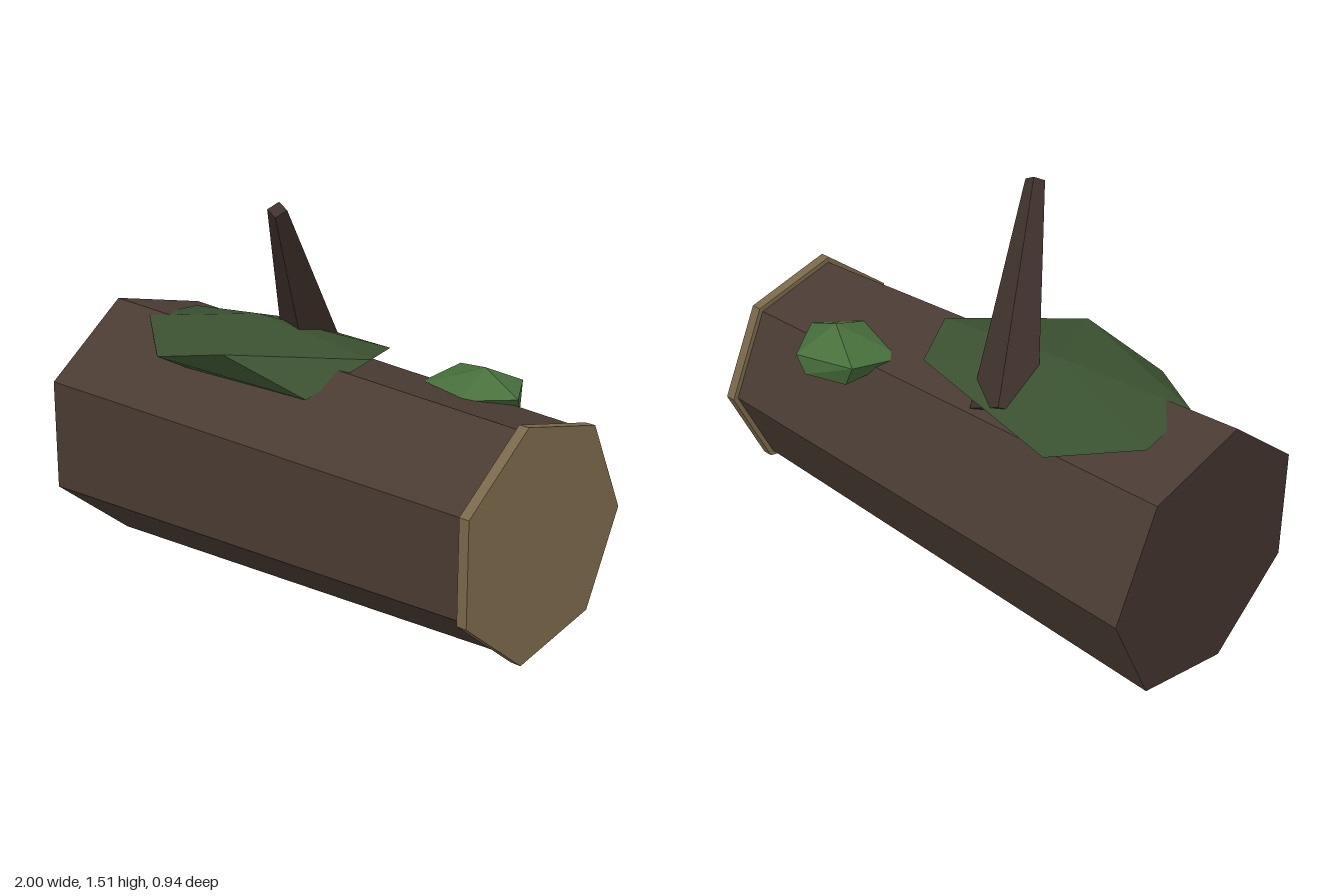
import * as THREE from 'three';
import { ConvexGeometry } from 'three/addons/geometries/ConvexGeometry.js';

const CENTER_Y = 0.485, CENTER_Z = 0.027;

function mat(name, color) {
  const m = new THREE.MeshStandardMaterial({ color });
  m.name = name;
  return m;
}

// Split corners so every face is shaded flat
function faceted(geometry) {
  const g = geometry.toNonIndexed();
  g.computeVertexNormals();
  return g;
}

export function createModel() {
  const group = new THREE.Group();
  const bark = mat('bark', 0x4a3b33);
  const darkBark = mat('dark bark', 0x40322d);
  const wood = mat('cut wood', 0x7a684a);
  const moss = mat('moss', 0x3a5130);
  const lightMoss = mat('light moss', 0x48703c);

  function add(name, geometry, material) {
    const mesh = new THREE.Mesh(geometry, material);
    mesh.name = name;
    group.add(mesh);
    return mesh;
  }

  // Seven-sided prism lying along x, with a corner pointing to the back
  function prism(name, x0, x1, r0, r1, material) {
    const g = new THREE.CylinderGeometry(r1, r0, x1 - x0, 7, 1, false, Math.PI);
    g.rotateZ(-Math.PI / 2);
    g.translate((x0 + x1) / 2, CENTER_Y, CENTER_Z);
    return add(name, faceted(g), material);
  }

  // Tapered trunk and the cut end
  prism('trunk', -1, 0.98, 0.4925, 0.41, [bark, bark, darkBark]);
  prism('cutEnd', 0.96, 1, 0.432, 0.432, wood);

  // Broken branch: four-sided taper with one ridge facing up and back
  const base = new THREE.Vector3(-0.247, 0.85, -0.179);
  const tip = new THREE.Vector3(0.022, 1.49, 0.275);
  const dir = tip.clone().sub(base);
  const length = dir.length();
  dir.normalize();
  const ridge = new THREE.Vector3(0, 1, 0).addScaledVector(dir, -dir.y).normalize();
  const side = new THREE.Vector3().crossVectors(dir, ridge);
  const branch = new THREE.CylinderGeometry(0.035, 0.12, length, 4);
  branch.applyMatrix4(new THREE.Matrix4().makeBasis(side, dir, ridge)
    .setPosition(base.clone().add(tip).multiplyScalar(0.5)));
  add('branch', faceted(branch), darkBark);

  // Moss clumps: irregular faceted lumps sunk into the bark
  const lump = (name, points, material) =>
    add(name, new ConvexGeometry(points.map(p => new THREE.Vector3(...p))), material);

  lump('largeMoss', [
    [-0.33, 1.01, 0.03],
    [-0.82, 0.92, -0.11], [-0.56, 0.88, -0.33], [0.12, 0.92, -0.20], [0.235, 0.95, 0.03],
    [-0.16, 0.96, 0.37], [-0.51, 0.88, 0.37], [-0.79, 0.94, 0.16],
    [0.13, 0.83, 0.25], [-0.46, 0.83, 0.28], [-0.62, 0.85, 0.28], [-0.3, 0.8, -0.15],
  ], moss);

  lump('smallMoss', [
    [0.53, 0.925, -0.24],
    [0.57, 0.85, -0.405], [0.32, 0.87, -0.36], [0.29, 0.83, -0.13],
    [0.56, 0.85, -0.06], [0.70, 0.85, -0.21],
    [0.53, 0.78, -0.40], [0.38, 0.77, -0.34], [0.64, 0.77, -0.30],
    [0.46, 0.76, -0.28], [0.45, 0.77, -0.12],
  ], lightMoss);

  return group;
}
